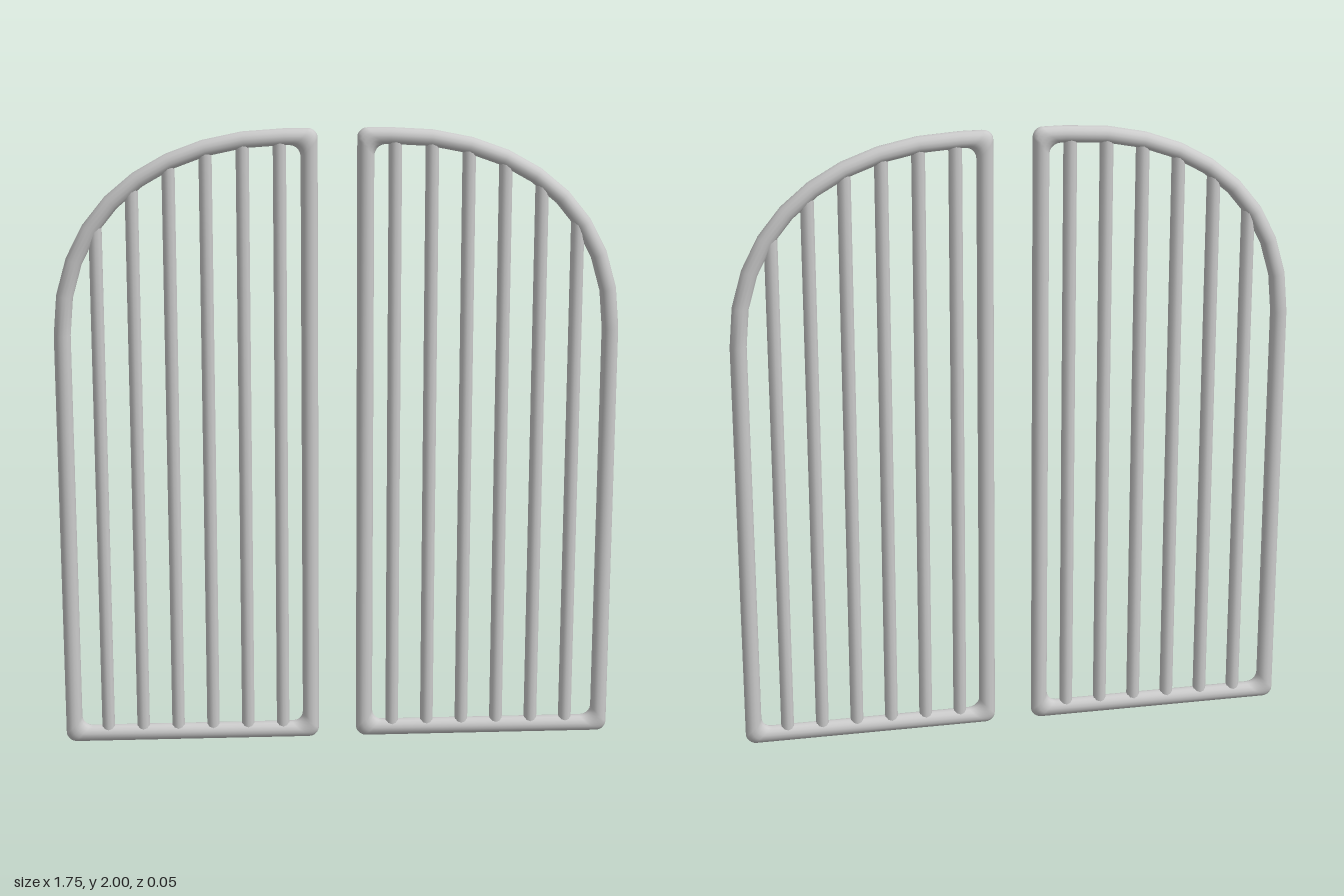
import * as THREE from 'three';

const R = 0.026;                       // half thickness of the frame rail
const X0 = 0.086, X1 = 0.848;          // rail centrelines of one panel
const Y0 = 0.028, Y1 = 1.973, SPRING = 1.36;

// Curved shoulder, from the outer post up to the top rail
const arch = new THREE.CubicBezierCurve(
  new THREE.Vector2(X1, SPRING), new THREE.Vector2(X1, 1.75),
  new THREE.Vector2(0.55, Y1), new THREE.Vector2(0.16, Y1));

// Pairs of outer and inner points around a corner, rounded on both edges
function corner(x, y, start) {
  const sx = Math.sign(Math.cos(start + Math.PI / 4));
  const sy = Math.sign(Math.sin(start + Math.PI / 4));
  const arc = (offset, radius, a) => new THREE.Vector2(
    x + sx * (offset - radius) + radius * Math.cos(a),
    y + sy * (offset - radius) + radius * Math.sin(a));
  const pairs = [];
  for (let k = 0; k <= 5; k++) {
    const a = start + (k / 5) * Math.PI / 2;
    pairs.push([arc(R, 0.03, a), arc(-R, 0.035, a)]);
  }
  return pairs;
}

// Closed rail with a round section spanning each outer/inner pair
function frameGeometry() {
  const pairs = [...corner(X0, Y0, Math.PI), ...corner(X1, Y0, -Math.PI / 2)];
  const steps = 9;
  for (let i = 0; i <= steps; i++) {
    const p = arch.getPoint(i / steps), t = arch.getTangent(i / steps);
    const n = new THREE.Vector2(t.y, -t.x).multiplyScalar(R);
    pairs.push([p.clone().add(n), p.clone().sub(n)]);
  }
  pairs.push(...corner(X0, Y1, Math.PI / 2));

  const sides = 14, count = pairs.length, pos = [], index = [];
  pairs.forEach(([o, n], i) => {
    for (let j = 0; j < sides; j++) {
      const a = (j / sides) * Math.PI * 2, w = (1 + Math.cos(a)) / 2;
      pos.push(n.x + (o.x - n.x) * w, n.y + (o.y - n.y) * w, R * Math.sin(a));
      const i2 = (i + 1) % count, j2 = (j + 1) % sides;
      const A = i * sides + j, B = i2 * sides + j, C = i2 * sides + j2, D = i * sides + j2;
      index.push(A, B, D, B, C, D);
    }
  });
  const g = new THREE.BufferGeometry();
  g.setAttribute('position', new THREE.Float32BufferAttribute(pos, 3));
  g.setIndex(index);
  g.computeVertexNormals();
  return g;
}

// Height of the arch centreline above a given x
function archHeight(x) {
  return arch.getPoints(200).reduce((best, p) =>
    Math.abs(p.x - x) < Math.abs(best.x - x) ? p : best).y;
}

function createPanel(name, material) {
  const panel = new THREE.Group();
  panel.name = name;
  const frame = new THREE.Mesh(frameGeometry(), material);
  frame.name = 'frame';
  panel.add(frame);

  // Upright bars running from the bottom rail to the arch
  for (let i = 0; i < 6; i++) {
    const x = 0.176 + i * 0.1125, top = archHeight(x);
    const bar = new THREE.Mesh(
      new THREE.CylinderGeometry(0.021, 0.021, top - Y0, 10), material);
    bar.position.set(x, (top + Y0) / 2, 0);
    bar.name = 'bar' + (i + 1);
    panel.add(bar);
  }
  return panel;
}

export function createModel() {
  const model = new THREE.Group();
  model.name = 'archedGate';
  const material = new THREE.MeshStandardMaterial({ color: 0xcccccc });
  const left = createPanel('leftPanel', material);
  const right = createPanel('rightPanel', material);
  right.rotation.y = Math.PI;          // the panel is alike front and back
  model.add(left, right);
  return model;
}
